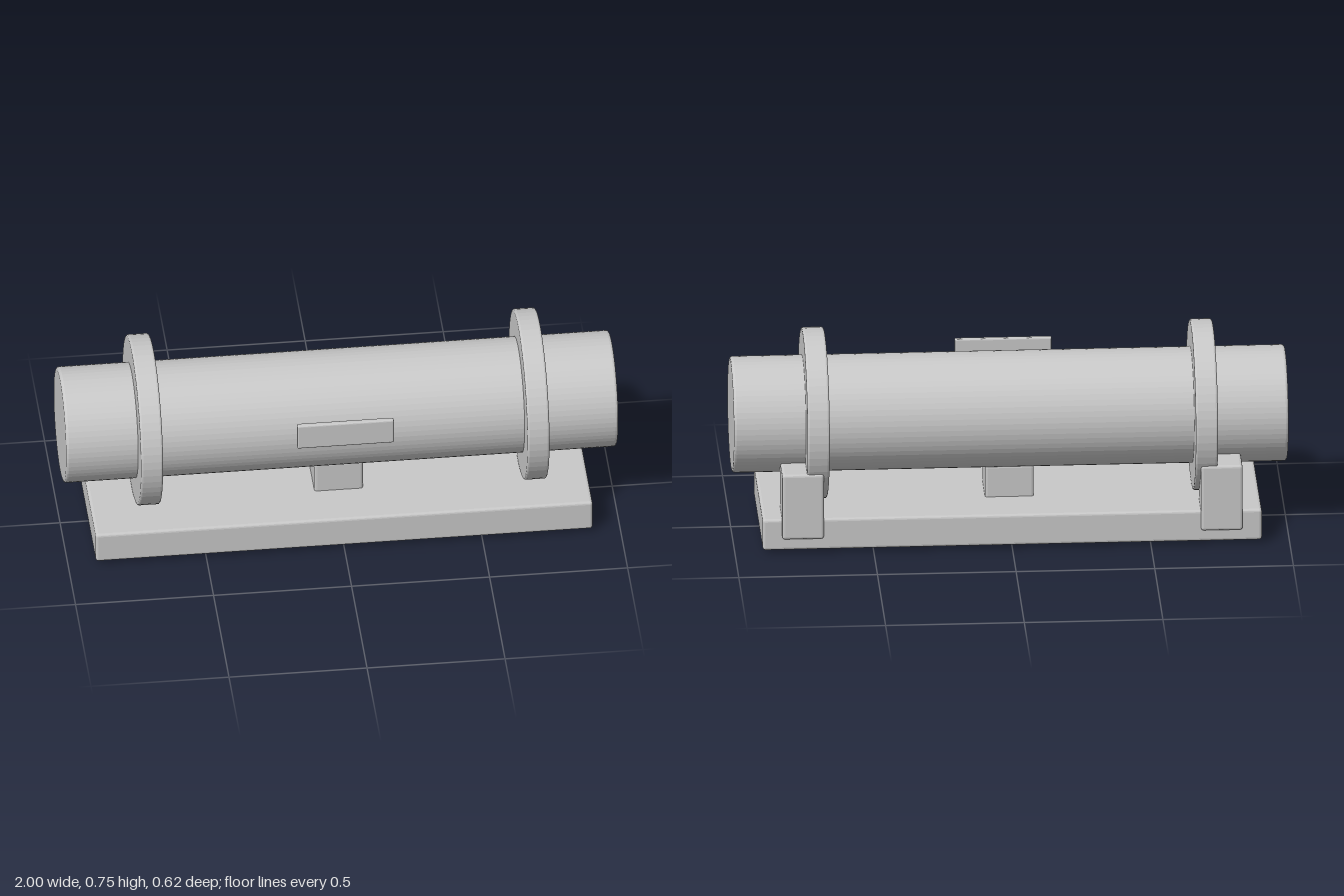
import * as THREE from 'three';
import { RoundedBoxGeometry } from 'three/addons/geometries/RoundedBoxGeometry.js';

const AXIS_Y = 0.436;
const AXIS_Z = -0.003;

export function createModel() {
  const model = new THREE.Group();
  model.name = 'mountedCylinder';
  const grey = new THREE.MeshStandardMaterial({ color: 0xc8c8c8, flatShading: true });
  grey.name = 'light grey';

  const add = (name, geometry, x, y, z) => {
    const mesh = new THREE.Mesh(geometry, grey);
    mesh.name = name;
    mesh.position.set(x, y, z);
    model.add(mesh);
  };

  // Box with softened edges, given by its limits on each axis
  const block = (name, [x0, x1], [y0, y1], [z0, z1], r = 0.01) =>
    add(name, new RoundedBoxGeometry(x1 - x0, y1 - y0, z1 - z0, 2, r),
      (x0 + x1) / 2, (y0 + y1) / 2, (z0 + z1) / 2);

  // Disc or bar along x with rounded rims
  const bar = (name, radius, length, x, b = 0.01) => {
    const h = length / 2;
    const profile = [new THREE.Vector2(0, -h)];
    for (let i = 0; i <= 3; i++) {
      const a = (i / 3) * Math.PI / 2;
      profile.push(new THREE.Vector2(radius - b + b * Math.sin(a), -h + b - b * Math.cos(a)));
    }
    for (let i = 4; i >= 0; i--) profile.push(new THREE.Vector2(profile[i].x, -profile[i].y));
    const geometry = new THREE.LatheGeometry(profile, 64).rotateZ(-Math.PI / 2);
    add(name, geometry, x, AXIS_Y, AXIS_Z);
  };

  // Main body and its two collars
  bar('cylinderBody', 0.21, 2, 0);
  for (const side of [-1, 1]) {
    const label = side > 0 ? 'left' : 'right';
    bar(label + 'Collar', 0.309, 0.08, side * 0.7, 0.008);
    // Rear support block beside each collar
    const xs = side > 0 ? [0.68, 0.83] : [-0.83, -0.68];
    block(label + 'RearSupport', xs, [0.057, 0.307], [-0.288, -0.138]);
  }

  // Base plate and the post passing through it
  block('basePlate', [-0.9, 0.9], [0.012, 0.13], [-0.273, 0.267]);
  block('centrePost', [-0.088, 0.088], [0, 0.25], [-0.092, 0.087]);

  // Small plate standing off the front
  block('frontPlate', [-0.175, 0.175], [0.49, 0.59], [0.292, 0.313], 0.006);

  return model;
}
